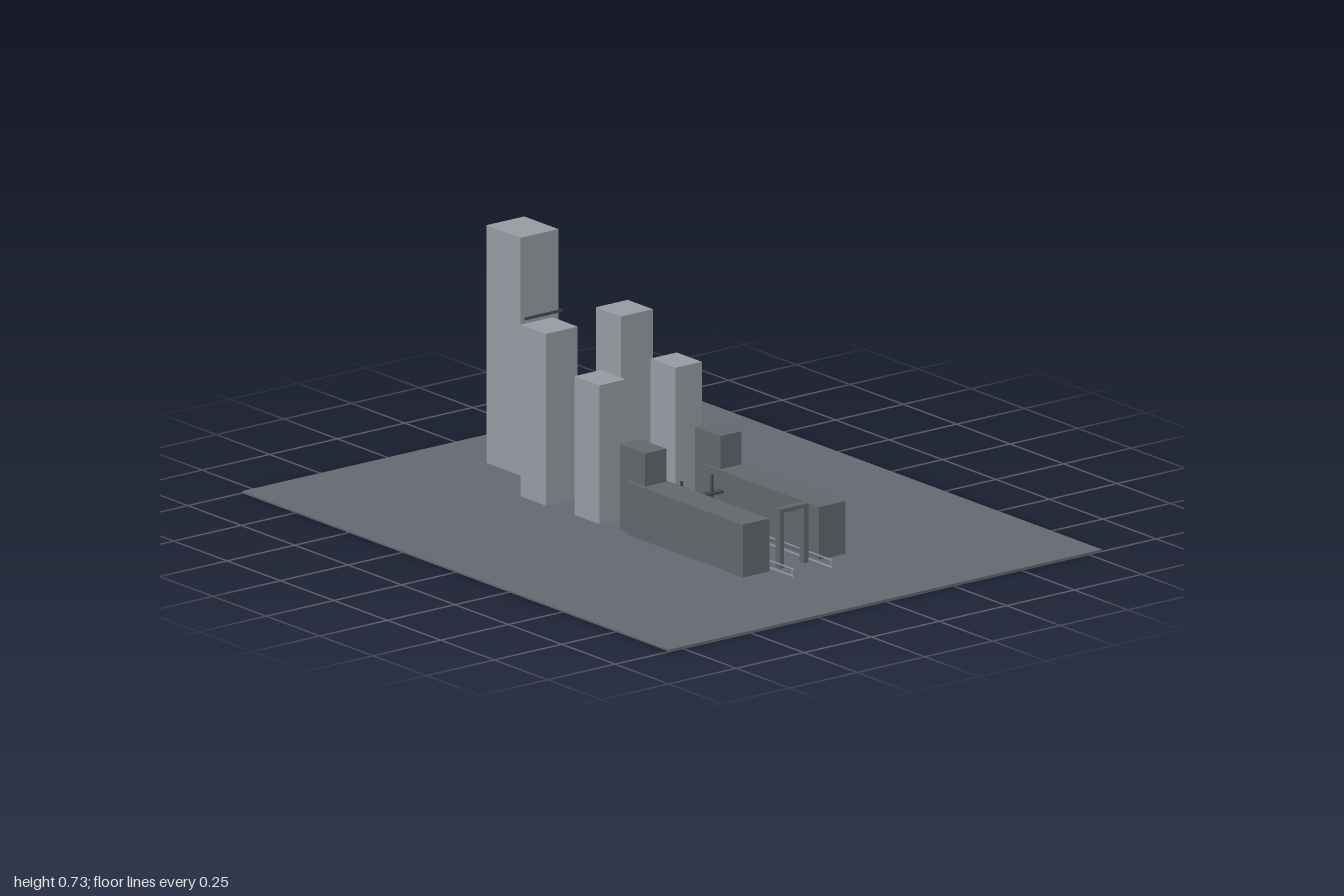
import * as THREE from 'three';

export function createModel() {
  const model = new THREE.Group();
  model.name = 'processionalCourt';
  const material = (name, color) => {
    const m = new THREE.MeshStandardMaterial({ color });
    m.name = name;
    return m;
  };
  const ground = material('slate ground', 0x636972);
  const dark = material('dark stone', 0x63686d);
  const light = material('pale stone', 0x989ca3);
  const trim = material('charcoal trim', 0x45494d);

  // Box given by its minimum and maximum on each axis
  function box(name, mat, [x0, x1], [y0, y1], [z0, z1]) {
    const mesh = new THREE.Mesh(new THREE.BoxGeometry(x1 - x0, y1 - y0, z1 - z0), mat);
    mesh.position.set((x0 + x1) / 2, (y0 + y1) / 2, (z0 + z1) / 2);
    mesh.name = name;
    model.add(mesh);
  }
  function pair(name, mat, [x0, x1], y, z) {
    box(name + 'Left', mat, [x0, x1], y, z);
    box(name + 'Right', mat, [-x1, -x0], y, z);
  }
  const base = 0.006;

  box('groundPlate', ground, [-0.8, 0.8], [0, base], [-1, 1]);

  // Towers rising towards the back
  box('mainTower', light, [-0.07, 0.07], [base, 0.727], [-0.78, -0.62]);
  pair('middleTower', light, [0.08, 0.198], [base, 0.527], [-0.458, -0.34]);
  pair('frontTower', light, [0.092, 0.189], [base, 0.427], [-0.217, -0.1]);

  // Long halls with a taller block at their inner end
  pair('hall', dark, [0.092, 0.19], [base, 0.166], [0.03, 0.572]);
  pair('hallBlock', dark, [0.1, 0.178], [base, 0.266], [-0.018, 0.1]);

  // Entrance gate
  pair('gatePost', dark, [0.037, 0.052], [base, 0.186], [0.55, 0.572]);
  box('gateLintel', dark, [-0.052, 0.052], [0.173, 0.186], [0.55, 0.572]);

  // Footbridge between the halls
  box('bridgeDeck', trim, [-0.092, 0.092], [0.102, 0.109], [0.105, 0.127]);
  pair('bridgePost', trim, [0.053, 0.059], [base, 0.163], [0.113, 0.119]);

  // Low rails and kerbs along the central path
  pair('pathRail', light, [0.07, 0.073], [0.028, 0.031], [-0.257, 0.66]);
  pair('pathKerb', light, [0.07, 0.073], [base, 0.01], [-0.257, 0.66]);
  for (let i = 0; i <= 8; i++) {
    const z = -0.25 + i * 0.113;
    pair('railPost' + i, light, [0.07, 0.073], [base, 0.03], [z - 0.0015, z + 0.0015]);
  }

  // Slim markers on the path
  box('tallMarker', trim, [-0.003, 0.003], [base, 0.042], [0.447, 0.453]);
  box('shortMarker', trim, [-0.03, -0.026], [base, 0.037], [0.368, 0.372]);

  // Thin bar in front of the main tower
  box('towerBar', trim, [-0.07, 0.07], [0.482, 0.49], [-0.602, -0.598]);
  return model;
}
